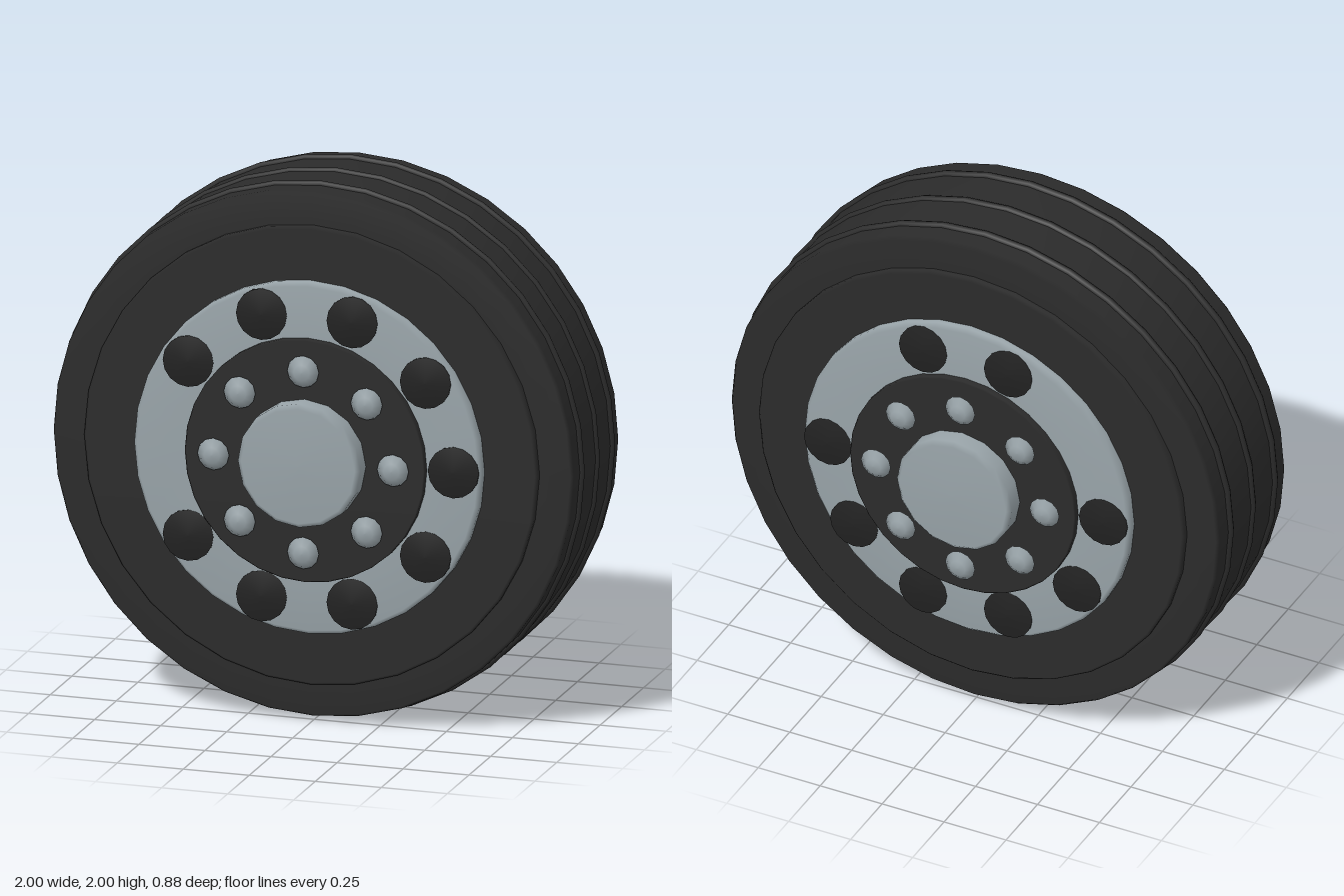
import * as THREE from 'three';

const material = (name, hex) => {
  const m = new THREE.MeshStandardMaterial({ color: hex });
  m.name = name;
  return m;
};

// Turned part around the z axis; profile is a list of [radius, z], from back to front
function turned(name, profile, sides, mat) {
  const geometry = new THREE.LatheGeometry(profile.map(([r, z]) => new THREE.Vector2(r, z)), sides);
  geometry.rotateX(Math.PI / 2);
  const mesh = new THREE.Mesh(geometry, mat);
  mesh.name = name;
  return mesh;
}

export function createModel() {
  const rubber = material('black rubber', 0x2b2b2b);
  const metal = material('grey metal', 0x98a3a8);
  const dark = material('dark hole', 0x222222);

  const wheel = new THREE.Group();
  wheel.name = 'wheel';
  const body = new THREE.Group();
  body.position.y = 1;
  wheel.add(body);

  // Tyre body
  body.add(turned('tyre', [[0, -0.27], [0.84, -0.27], [0.975, -0.268], [0.985, -0.255],
    [0.988, 0], [0.985, 0.255], [0.975, 0.268], [0.84, 0.27], [0, 0.27]], 36, rubber));

  // Raised tread ridges
  for (const z of [-0.175, 0, 0.175]) {
    const ridge = new THREE.Mesh(new THREE.TorusGeometry(0.985, 0.015, 8, 36), rubber);
    ridge.name = 'treadRidge';
    ridge.position.z = z;
    body.add(ridge);
  }

  // One face of the wheel; missing lists the hole positions left blank
  function wheelFace(name, missing) {
    const face = new THREE.Group();
    face.name = name;

    face.add(turned('sidewall', [[0.86, 0.25], [0.86, 0.285], [0.85, 0.295], [0, 0.297]], 32, rubber));
    face.add(turned('rim', [[0.66, 0.28], [0.66, 0.315], [0.645, 0.33], [0.45, 0.337], [0, 0.338]], 32, metal));
    face.add(turned('hubPlate', [[0.455, 0.33], [0.455, 0.358], [0.45, 0.362], [0, 0.362]], 32, rubber));
    face.add(turned('hubCap', [[0.232, 0.34], [0.232, 0.425], [0.215, 0.44], [0, 0.442]], 16, metal));

    // Ventilation holes
    for (let i = 0; i < 10; i++) {
      if (missing.includes(i)) continue;
      const a = (i * Math.PI) / 5;
      const hole = turned('ventHole', [[0.095, -0.01], [0.095, 0.004], [0, 0.008]], 16, dark);
      hole.position.set(Math.cos(a) * 0.555, Math.sin(a) * 0.555, 0.338);
      face.add(hole);
    }

    // Wheel nuts
    for (let i = 0; i < 8; i++) {
      const a = (i * Math.PI) / 4;
      const nut = turned('wheelNut', [[0.03, -0.021], [0.06, 0], [0.03, 0.02], [0, 0.022]], 12, metal);
      nut.position.set(Math.cos(a) * 0.34, Math.sin(a) * 0.34, 0.38);
      face.add(nut);
    }
    return face;
  }

  body.add(wheelFace('frontFace', [5]));
  const back = wheelFace('backFace', [1, 4]);
  back.rotation.y = Math.PI;
  body.add(back);

  return wheel;
}
